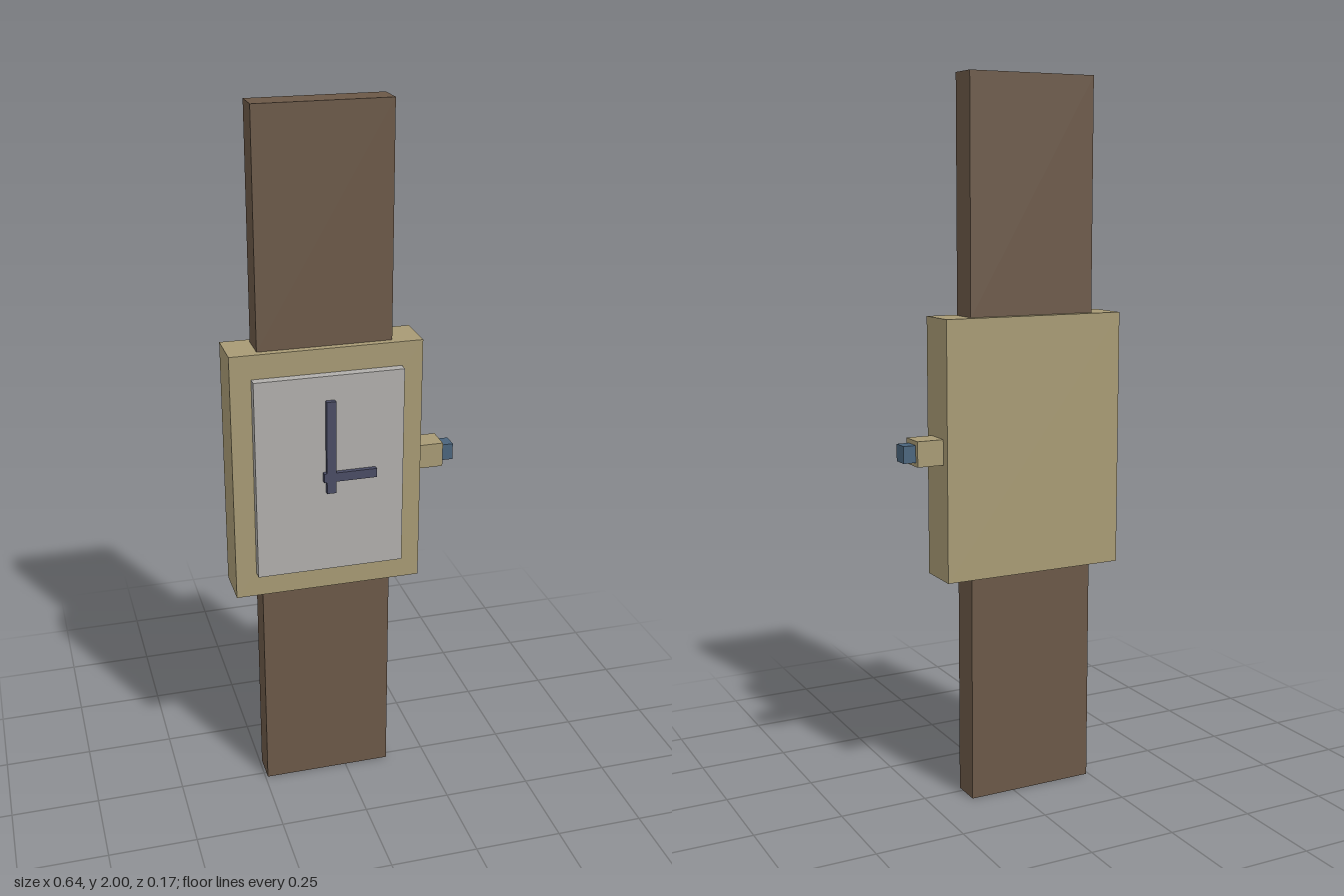
import * as THREE from 'three';

const material = (color) => new THREE.MeshStandardMaterial({ color, flatShading: true });

export function createModel() {
  const model = new THREE.Group();
  model.name = 'wristwatch';

  const leather = material(0x6b5847);
  const brass = material(0xa79a74);
  const silver = material(0xb0aeab);
  const steelBlue = material(0x4a647c);
  const darkBlue = material(0x4a4c64);

  // Box given by its [min, max] range on each axis
  function block(name, mat, [x0, x1], [y0, y1], [z0, z1]) {
    const mesh = new THREE.Mesh(new THREE.BoxGeometry(x1 - x0, y1 - y0, z1 - z0), mat);
    mesh.position.set((x0 + x1) / 2, (y0 + y1) / 2, (z0 + z1) / 2);
    mesh.name = name;
    model.add(mesh);
  }

  // Strap halves, meeting the case above and below
  const strapX = [-0.243, 0.13], strapZ = [-0.063, 0.021];
  block('upperStrap', leather, strapX, [1.358, 2], strapZ);
  block('lowerStrap', leather, strapX, [0, 0.644], strapZ);

  // Case and raised dial
  block('case', brass, [-0.322, 0.211], [0.644, 1.36], [-0.084, 0.042]);
  block('dial', silver, [-0.264, 0.152], [0.715, 1.292], [0.042, 0.069]);

  // Hands, crossing near the dial centre
  block('minuteHand', darkBlue, [-0.069, -0.043], [0.954, 1.223], [0.069, 0.083]);
  block('hourHand', darkBlue, [-0.077, 0.072], [0.988, 1.014], [0.069, 0.0825]);

  // Winding crown on the side of the case
  block('crown', brass, [0.211, 0.286], [0.967, 1.037], [-0.058, 0.016]);
  block('crownTip', steelBlue, [0.286, 0.321], [0.978, 1.025], [-0.045, 0.002]);

  return model;
}
